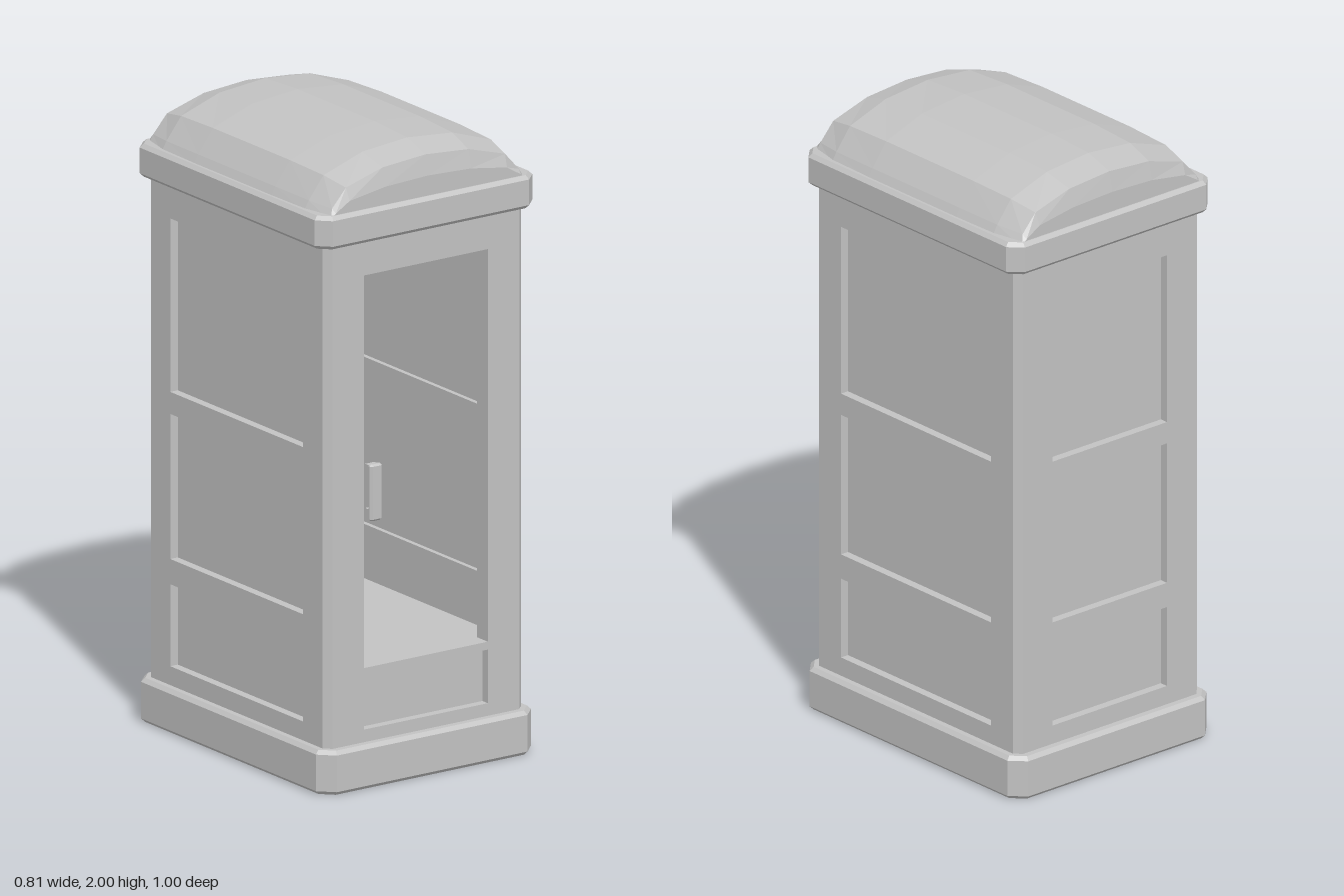
import * as THREE from 'three';

const grey = new THREE.MeshStandardMaterial({ color: 0xc2c2c2 });
grey.name = 'pale grey';
grey.flatShading = true;

function add(parent, name, geometry, x = 0, y = 0, z = 0) {
  const mesh = new THREE.Mesh(geometry, grey);
  mesh.name = name;
  mesh.position.set(x, y, z);
  parent.add(mesh);
  return mesh;
}

const box = (w, h, d) => new THREE.BoxGeometry(w, h, d);

// Upright block with cut corners and a small bevel, standing on y = 0
function chamferBlock(w, h, d, cut, bevel) {
  const a = w / 2, b = d / 2;
  const shape = new THREE.Shape([
    [a - cut, -b], [a, -b + cut], [a, b - cut], [a - cut, b],
    [-a + cut, b], [-a, b - cut], [-a, -b + cut], [-a + cut, -b],
  ].map(([x, y]) => new THREE.Vector2(x, y)));
  const g = new THREE.ExtrudeGeometry(shape, {
    depth: h - 2 * bevel, bevelEnabled: bevel > 0, bevelSegments: 1,
    bevelThickness: bevel, bevelSize: bevel, bevelOffset: -bevel,
  });
  return g.translate(0, 0, bevel).rotateX(-Math.PI / 2);
}

function rect(Type, x, y0, y1) {
  const r = new Type();
  r.moveTo(-x, y0).lineTo(x, y0).lineTo(x, y1).lineTo(-x, y1).closePath();
  return r;
}

const THICK = 0.055;

// Framed wall whose outer face lies on local z = 0, with recessed panels
function makeWall(name, half, openHalf, openings) {
  const wall = new THREE.Group();
  wall.name = name;
  const shape = rect(THREE.Shape, half, 0.12, 1.75);
  for (const [y0, y1] of openings) shape.holes.push(rect(THREE.Path, openHalf, y0, y1));
  const frame = new THREE.ExtrudeGeometry(shape, { depth: THICK, bevelEnabled: false });
  add(wall, name + 'Frame', frame, 0, 0, -THICK);
  for (const [y0, y1, hasPanel] of openings) {
    if (hasPanel) add(wall, name + 'Panel', box(openHalf * 2 + 0.01, y1 - y0 + 0.01, 0.012), 0, (y0 + y1) / 2, -0.034);
  }
  return wall;
}

// Domed roof lofted from arched cross-sections along z
function roofGeometry() {
  const half = [[0.39, 0], [0.37, 0.2], [0.315, 0.62], [0.17, 0.91]];
  const arch = [...half, [0, 1], ...half.slice().reverse().map(([x, y]) => [-x, y])];
  const ends = [[0.48, 0.93, 0.42], [0.465, 0.94, 0.78], [0.37, 0.99, 0.95], [0.2, 1, 1]];
  const sections = [...ends, ...ends.slice().reverse().map(([z, w, h]) => [-z, w, h])];
  const pos = [], idx = [], n = arch.length;
  for (const [z, w, h] of sections) {
    for (const [x, y] of arch) pos.push(x * w, 1.825 + y * h * 0.175, z);
  }
  for (let s = 0; s < sections.length - 1; s++) {
    for (let i = 0; i < n - 1; i++) {
      const a = s * n + i, b = a + n;
      idx.push(a, b, a + 1, a + 1, b, b + 1);
    }
  }
  const last = (sections.length - 1) * n;
  for (let i = 1; i < n - 1; i++) {
    idx.push(0, i, i + 1);
    idx.push(last, last + i + 1, last + i);
  }
  const g = new THREE.BufferGeometry();
  g.setAttribute('position', new THREE.Float32BufferAttribute(pos, 3));
  g.setIndex(idx);
  g.computeVertexNormals();
  return g;
}

export function createModel() {
  const booth = new THREE.Group();
  booth.name = 'phoneBooth';
  const X = 0.37, Z = 0.468, CUT = 0.022;

  // Plinth, floor and roof
  add(booth, 'plinth', chamferBlock(0.8, 0.14, 1.0, 0.045, 0.012));
  add(booth, 'floor', box(0.66, 0.23, 0.86), 0, 0.245, 0);
  add(booth, 'roofRim', chamferBlock(0.81, 0.105, 0.99, 0.04, 0.012), 0, 1.73, 0);
  add(booth, 'roofDome', roofGeometry());

  // Walls: panelled sides and back, open doorway at the front
  const panels = [[0.2, 0.46, true], [0.54, 1.0, true], [1.07, 1.62, true]];
  for (const s of [1, -1]) {
    const side = makeWall(s > 0 ? 'leftWall' : 'rightWall', Z - CUT, 0.345, panels);
    side.position.x = s * X;
    side.rotation.y = s * Math.PI / 2;
    booth.add(side);
  }
  const back = makeWall('backWall', X - CUT, 0.23, panels);
  back.position.z = -Z;
  back.rotation.y = Math.PI;
  booth.add(back);
  const front = makeWall('frontWall', X - CUT, 0.23, [[0.18, 0.35, true], [0.375, 1.62, false]]);
  front.position.z = Z;
  booth.add(front);

  // Cut corner posts
  for (const sx of [1, -1]) for (const sz of [1, -1]) {
    add(booth, 'cornerPost', chamferBlock(0.06, 1.62, 0.06, CUT, 0), sx * (X - 0.0305), 0.12, sz * (Z - 0.0305));
  }

  // Door handle: a bowed grip on two feet
  const handle = new THREE.Group();
  handle.name = 'doorHandle';
  handle.position.set(-0.205, 0.935, Z);
  add(handle, 'grip', chamferBlock(0.045, 0.18, 0.02, 0.007, 0.006), 0, -0.09, 0.022);
  for (const y of [-0.07, 0.07]) add(handle, 'foot', box(0.035, 0.03, 0.024), 0, y, 0.006);
  booth.add(handle);

  // Wall telephone with handset and hanging cord
  const phone = new THREE.Group();
  phone.name = 'telephone';
  phone.position.z = -0.43;
  add(phone, 'phoneBody', chamferBlock(0.33, 0.34, 0.13, 0.02, 0.015), 0.02, 0.88, 0.065);
  add(phone, 'phoneCradle', chamferBlock(0.14, 0.3, 0.06, 0.02, 0.012), -0.07, 0.895, 0.15);
  add(phone, 'phoneBracket', box(0.09, 0.05, 0.06), -0.17, 1.19, 0.05);
  add(phone, 'handsetGrip', chamferBlock(0.04, 0.3, 0.035, 0.01, 0.006), -0.195, 0.86, 0.09);
  for (const y of [0.85, 1.09]) {
    add(phone, 'handsetCup', chamferBlock(0.06, 0.07, 0.06, 0.015, 0.01), -0.19, y, 0.1);
  }
  const cord = new THREE.CatmullRomCurve3([
    [-0.2, 0.87, 0.09], [-0.205, 0.78, 0.09], [-0.175, 0.72, 0.09], [-0.14, 0.74, 0.08], [-0.115, 0.89, 0.07],
  ].map((p) => new THREE.Vector3(...p)));
  add(phone, 'cord', new THREE.TubeGeometry(cord, 10, 0.011, 5));
  booth.add(phone);

  return booth;
}
